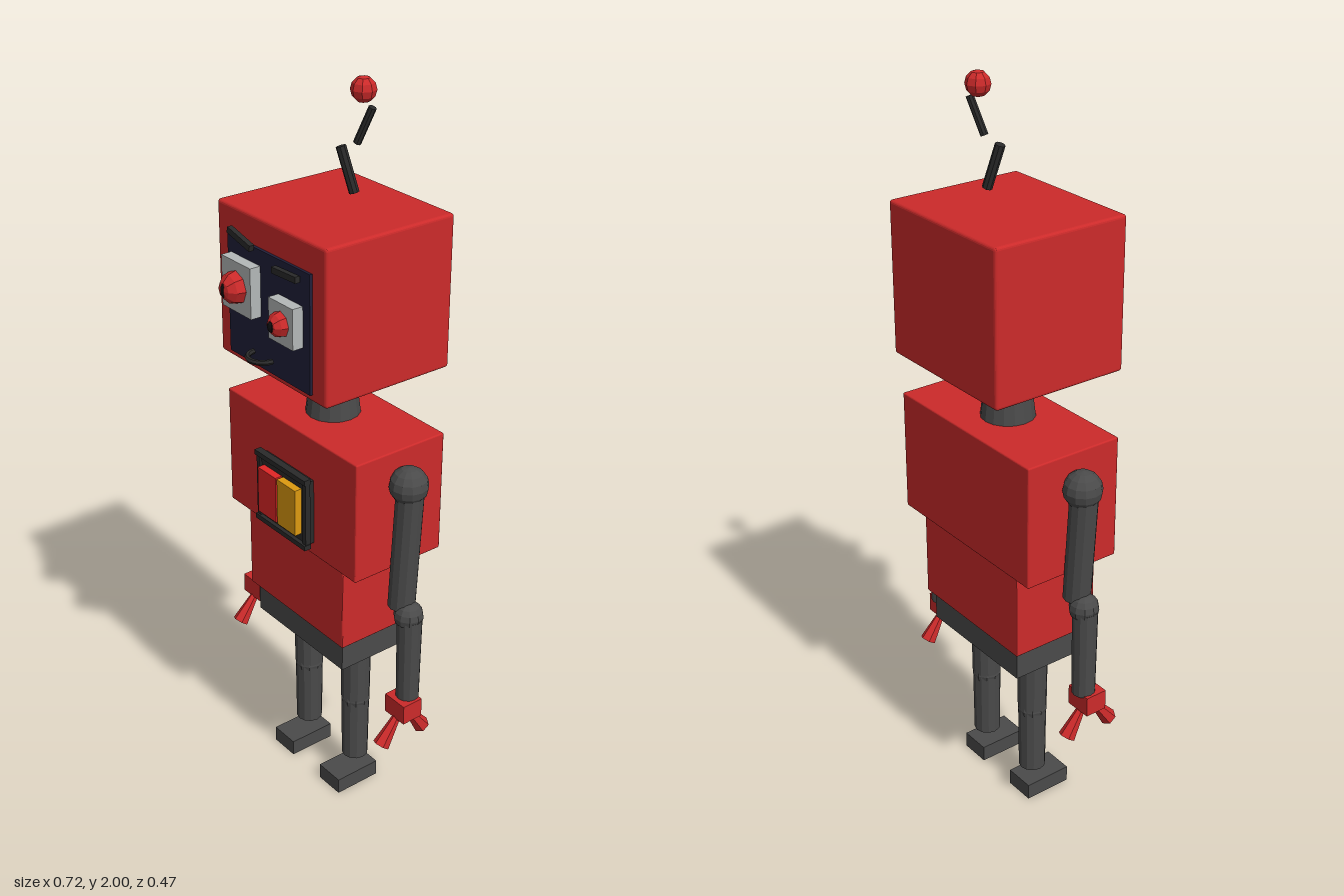
import * as THREE from 'three';
import { RoundedBoxGeometry } from 'three/addons/geometries/RoundedBoxGeometry.js';

const paint = (color) => new THREE.MeshStandardMaterial({ color, flatShading: true });
const RED = paint(0xcc2a2a), GREY = paint(0x4a4a4a), DARK = paint(0x2a2a2a), NAVY = paint(0x20203a);
const PALE = paint(0xb4b8b8), BRIGHT = paint(0xe02626), AMBER = paint(0xdd9a10), BLACK = paint(0x111111);
const V = (x, y, z) => new THREE.Vector3(x, y, z);
const MID = -0.04; // depth of the body's centre line

export function createModel() {
  const root = new THREE.Group();

  function add(name, geometry, material, x = 0, y = 0, z = 0, parent = root) {
    const mesh = new THREE.Mesh(geometry, material);
    mesh.name = name;
    mesh.position.set(x, y, z);
    parent.add(mesh);
    return mesh;
  }
  // Box given by its limits on each axis
  function box(name, material, [x0, x1], [y0, y1], [z0, z1], radius = 0, parent = root) {
    const size = [x1 - x0, y1 - y0, z1 - z0];
    const geometry = radius ? new RoundedBoxGeometry(...size, 2, radius) : new THREE.BoxGeometry(...size);
    return add(name, geometry, material, (x0 + x1) / 2, (y0 + y1) / 2, (z0 + z1) / 2, parent);
  }
  // Cylinder or cone between two points
  function rod(name, material, a, b, ra, rb = ra, sides = 12, parent = root) {
    const c = a.clone().add(b).multiplyScalar(0.5);
    const mesh = add(name, new THREE.CylinderGeometry(rb, ra, a.distanceTo(b), sides), material, c.x, c.y, c.z, parent);
    mesh.quaternion.setFromUnitVectors(V(0, 1, 0), b.clone().sub(a).normalize());
    return mesh;
  }
  const ball = (name, material, r, x, y, z, sides = 8, rings = 6, parent = root) =>
    add(name, new THREE.SphereGeometry(r, sides, rings), material, x, y, z, parent);

  // Head and neck
  box('head', RED, [-0.217, 0.217], [1.275, 1.68], [-0.236, 0.152], 0.008);
  box('facePanel', NAVY, [-0.165, 0.165], [1.295, 1.605], [0.148, 0.16]);
  rod('neck', GREY, V(0, 1.12, MID), V(0, 1.25, MID), 0.073, 0.057, 16);

  // Uneven eyes: square socket, faceted ball, pupil and brow
  for (const e of [
    { x: -0.09, y: 1.498, w: 0.06, h: 0.066, r: 0.043, px: 0.008, py: 0.019, browY: 1.619, tilt: -0.24 },
    { x: 0.09, y: 1.464, w: 0.048, h: 0.053, r: 0.033, px: 0.013, py: 0.015, browY: 1.585, tilt: 0.04 },
  ]) {
    const eye = new THREE.Group();
    eye.name = e.x < 0 ? 'rightEye' : 'leftEye';
    root.add(eye);
    box('eyeSocket', PALE, [e.x - e.w, e.x + e.w], [e.y - e.h, e.y + e.h], [0.158, 0.19], 0, eye);
    ball('eyeball', RED, e.r, e.x, e.y, 0.19, 8, 6, eye).rotation.x = Math.PI / 2;
    ball('pupil', BLACK, 1, e.x, e.y, 0.184 + e.r, 8, 6, eye).scale.set(e.px, e.py, 0.008);
    const brow = box('brow', DARK, [e.x - 0.047, e.x + 0.047], [e.browY - 0.008, e.browY + 0.008], [0.167, 0.181], 0, eye);
    brow.rotation.z = e.tilt;
  }

  // Mouth hoop standing out from the face
  add('mouth', new THREE.TorusGeometry(0.038, 0.007, 6, 16, Math.PI), DARK, 0, 1.343, 0.178).rotation.x = Math.PI / 2;

  // Bent antenna
  rod('antennaLower', DARK, V(0.045, 1.72, -0.066), V(0.014, 1.83, -0.049), 0.013, 0.013, 8);
  rod('antennaUpper', DARK, V(0.056, 1.845, -0.064), V(0.092, 1.935, -0.08), 0.01, 0.01, 8);
  ball('antennaTip', RED, 0.032, 0.058, 1.97, -0.08);

  // Body
  box('chest', RED, [-0.27, 0.27], [0.79, 1.128], [-0.182, 0.1], 0.004);
  box('waist', RED, [-0.205, 0.203], [0.545, 0.792], [-0.168, 0.086], 0.003);
  box('pelvis', GREY, [-0.186, 0.186], [0.46, 0.548], [-0.153, 0.072]);

  // Chest display with two lamps in a dark frame
  box('displayPlate', DARK, [-0.1, 0.1], [0.828, 1.012], [0.098, 0.124]);
  for (const y of [0.825, 1.017])
    box('displayRail', DARK, [-0.107, 0.107], [y - 0.007, y + 0.007], [0.115, 0.135]);
  for (const x of [-0.098, 0.098])
    box('displaySide', DARK, [x - 0.007, x + 0.007], [0.825, 1.017], [0.115, 0.13]);
  box('redLamp', BRIGHT, [-0.08, -0.003], [0.855, 0.987], [0.12, 0.145]);
  box('amberLamp', AMBER, [0.003, 0.08], [0.855, 0.987], [0.12, 0.145]);

  // Arms, the left one hanging a little lower
  for (const { side, drop } of [{ side: -1, drop: 0 }, { side: 1, drop: 0.045 }]) {
    const arm = new THREE.Group();
    arm.name = side < 0 ? 'rightArm' : 'leftArm';
    root.add(arm);
    const x = 0.323 * side, wrist = 0.455 - drop;
    ball('shoulder', GREY, 0.051, 0.304 * side, 1.042, MID, 12, 8, arm);
    rod('upperArm', GREY, V(0.31 * side, 1.03, MID), V(0.289 * side, 0.725 - drop, MID), 0.037, 0.037, 12, arm);
    ball('elbow', GREY, 0.04, 0.318 * side, 0.707 - drop, MID, 10, 8, arm);
    rod('forearm', GREY, V(x, 0.7 - drop, MID), V(x, wrist - 0.005, MID), 0.034, 0.031, 12, arm);
    box('hand', RED, [x - 0.038, x + 0.038], [wrist - 0.056, wrist], [-0.058, 0.004], 0, arm);
    for (const f of [-1, 1])
      rod('finger', RED, V(x, wrist - 0.127, -0.023 + 0.071 * f), V(x, wrist - 0.045, -0.026 + 0.012 * f),
        0.023, 0.009, 6, arm);
  }

  // Legs and feet
  for (const side of [-1, 1]) {
    const leg = new THREE.Group();
    leg.name = side < 0 ? 'rightLeg' : 'leftLeg';
    root.add(leg);
    const x = 0.106 * side;
    rod('thigh', GREY, V(x, 0.28, MID), V(x, 0.465, MID), 0.04, 0.042, 12, leg);
    ball('knee', GREY, 0.041, x, 0.275, MID, 10, 8, leg);
    rod('shin', GREY, V(x, 0.08, MID), V(x, 0.28, MID), 0.037, 0.039, 12, leg);
    box('foot', GREY, [x - 0.043, x + 0.043], [0, 0.046], [-0.085, 0.052], 0, leg);
  }
  return root;
}
